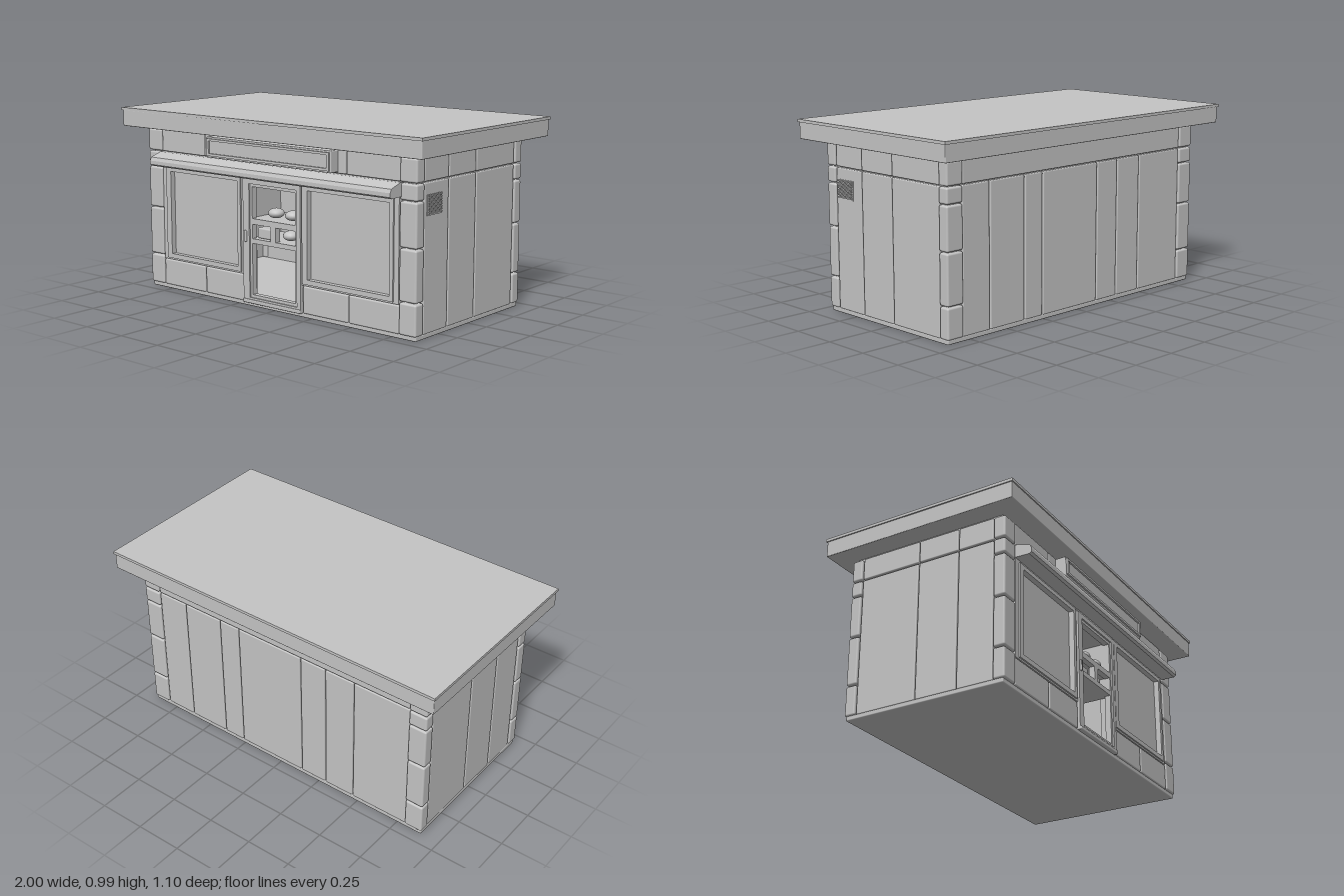
import * as THREE from 'three';
import { RoundedBoxGeometry } from 'three/addons/geometries/RoundedBoxGeometry.js';

const stone = new THREE.MeshStandardMaterial({ color: 0xc4c4c4 });
stone.name = 'plain grey';

export function createModel() {
  const shop = new THREE.Group();
  shop.name = 'shop';

  const group = (name) => {
    const g = new THREE.Group();
    g.name = name;
    shop.add(g);
    return g;
  };
  const add = (parent, name, geometry) => {
    const m = new THREE.Mesh(geometry, stone);
    m.name = name;
    parent.add(m);
    return m;
  };
  // Box given by its limits; r > 0 softens the edges
  const block = (parent, name, [x0, x1], [y0, y1], [z0, z1], r = 0) => {
    const s = [x1 - x0, y1 - y0, z1 - z0];
    const m = add(parent, name, r ? new RoundedBoxGeometry(...s, 2, r) : new THREE.BoxGeometry(...s));
    m.position.set((x0 + x1) / 2, (y0 + y1) / 2, (z0 + z1) / 2);
    return m;
  };
  // Upright plate with rectangular holes, each [x0, x1, y0, y1]
  const plate = (parent, name, outer, holes, z0, z1) => {
    const corners = ([a, b, c, d]) => [[a, c], [b, c], [b, d], [a, d]].map((p) => new THREE.Vector2(...p));
    const shape = new THREE.Shape(corners(outer));
    holes.forEach((h) => shape.holes.push(new THREE.Path(corners(h))));
    const m = add(parent, name, new THREE.ExtrudeGeometry(shape, { depth: z1 - z0, bevelEnabled: false }));
    m.position.z = z0;
    return m;
  };
  const gap = 0.003;
  const between = (list, i) => [list[i] + gap, list[i + 1] - gap];

  // Roof slab with a thin lip, and the base
  const roof = group('roof');
  block(roof, 'roofSlab', [-0.994, 0.994], [0.885, 0.972], [-0.545, 0.545], 0.004);
  block(roof, 'roofLip', [-1, 1], [0.97, 0.985], [-0.55, 0.55]);
  block(shop, 'base', [-0.895, 0.895], [0, 0.025], [-0.44, 0.44], 0.006);

  // Hollow inner shell, seen in the joints and through the door
  const shell = group('innerWalls');
  for (const s of [-1, 1]) {
    block(shell, 'sideWall', s > 0 ? [0.84, 0.878] : [-0.878, -0.84], [0.01, 0.886], [-0.425, 0.425]);
  }
  block(shell, 'backWall', [-0.86, 0.86], [0.01, 0.886], [-0.428, -0.39]);
  plate(shell, 'frontWall', [-0.86, 0.86, 0.01, 0.886], [[-0.17, 0.17, 0.04, 0.65]], 0.38, 0.422);
  block(shell, 'ceiling', [-0.87, 0.87], [0.87, 0.886], [-0.43, 0.43]);

  // Corner stones
  const courses = [0.02, 0.182, 0.442, 0.667, 0.752, 0.873];
  const corners = group('cornerStones');
  for (const sx of [-1, 1]) for (const sz of [-1, 1]) {
    for (let i = 0; i < 5; i++) {
      block(corners, 'cornerStone', sx > 0 ? [0.8, 0.9] : [-0.9, -0.8], between(courses, i),
        sz > 0 ? [0.387, 0.45] : [-0.447, -0.387], 0.01);
    }
  }

  // Side planks with a top band
  const sideJoints = [-0.385, -0.045, 0.185, 0.385];
  const sides = group('sidePlanks');
  for (const s of [-1, 1]) for (let i = 0; i < 3; i++) {
    const x = s > 0 ? [0.865, 0.895] : [-0.895, -0.865];
    block(sides, 'sidePlank', x, [0.022, 0.749], between(sideJoints, i), 0.006);
    block(sides, 'sideBand', x, [0.755, 0.873], between(sideJoints, i), 0.006);
  }

  // Back planks with a top band
  const backJoints = [-0.8, -0.47, -0.295, -0.14, 0.26, 0.385, 0.62, 0.8];
  const back = group('backPlanks');
  for (let i = 0; i < 7; i++) {
    block(back, 'backPlank', between(backJoints, i), [0.022, 0.749], [-0.44, -0.41], 0.006);
  }
  block(back, 'backBand', [-0.797, 0.797], [0.755, 0.873], [-0.442, -0.41], 0.006);

  // Low front stones and upper front band
  const front = group('frontStones');
  for (const [a, b] of [[-0.8, -0.485], [-0.485, -0.2], [0.195, 0.49], [0.49, 0.8]]) {
    block(front, 'lowFrontStone', [a + gap, b - gap], [0.022, 0.163], [0.41, 0.446], 0.008);
  }
  for (const [a, b] of [[-0.8, -0.48], [-0.48, 0.475], [0.475, 0.8]]) {
    block(front, 'frontBand', [a + gap, b - gap], [0.755, 0.873], [0.41, 0.446], 0.006);
  }

  // Shop windows: raised frame, sill and a sunken pane
  const windows = group('shopWindows');
  for (const [a, b, p, q] of [[-0.795, -0.2, -0.73, -0.24], [0.195, 0.795, 0.235, 0.745]]) {
    plate(windows, 'windowFrame', [a, b, 0.166, 0.7], [[p, q, 0.2, 0.65]], 0.41, 0.445);
    plate(windows, 'windowTrim', [p - 0.035, q + 0.022, 0.175, 0.672], [[p, q, 0.2, 0.65]], 0.44, 0.453);
    block(windows, 'windowPane', [p - 0.01, q + 0.01], [0.19, 0.66], [0.405, 0.424]);
  }

  // Door with display openings
  const door = group('door');
  plate(door, 'doorFrame', [-0.198, 0.192, 0.02, 0.7], [
    [-0.14, 0.152, 0.465, 0.63], [-0.14, -0.015, 0.36, 0.435],
    [0.02, 0.152, 0.36, 0.435], [-0.14, 0.152, 0.065, 0.335],
  ], 0.415, 0.447);
  plate(door, 'doorTrim', [-0.198, 0.192, 0.02, 0.67], [[-0.155, 0.167, 0.05, 0.645]], 0.44, 0.455);
  block(door, 'doorStep', [-0.198, 0.192], [0.02, 0.04], [0.44, 0.462], 0.005);
  block(door, 'doorHandle', [-0.188, -0.172], [0.34, 0.4], [0.45, 0.463], 0.005);

  // Display shelves behind the door
  const shelves = group('displayShelves');
  for (const y of [0.335, 0.44, 0.64]) {
    block(shelves, 'shelf', [-0.17, 0.17], [y, y + 0.024], [0.2, 0.42]);
  }
  block(shelves, 'shelfBack', [-0.17, 0.17], [0.335, 0.66], [0.19, 0.21]);
  for (const x of [-0.165, 0.165]) {
    block(shelves, 'shelfSide', [x - 0.008, x + 0.008], [0.335, 0.66], [0.2, 0.42]);
  }
  block(shelves, 'tray', [-0.13, -0.035], [0.36, 0.415], [0.36, 0.42], 0.008);
  block(shelves, 'counter', [0.02, 0.2], [0.02, 0.265], [-0.1, 0.0]);
  for (const [x, y] of [[-0.03, 0.49], [0.085, 0.49], [0.07, 0.385]]) {
    const bun = add(shelves, 'bun', new THREE.SphereGeometry(0.042, 20, 12));
    bun.scale.y = 0.62;
    bun.position.set(x, y + 0.008, 0.385);
  }

  // Rounded ledge above the windows
  const profile = new THREE.Shape([[0.43, 0.69], [0.45, 0.685], [0.522, 0.683], [0.535, 0.692],
    [0.535, 0.712], [0.527, 0.73], [0.46, 0.752], [0.43, 0.752]].map((p) => new THREE.Vector2(-p[0], p[1])));
  const ledge = add(shop, 'ledge', new THREE.ExtrudeGeometry(profile, { depth: 1.61, bevelEnabled: false }));
  ledge.rotation.y = Math.PI / 2;
  ledge.position.x = -0.8;

  // Blank sign board with a raised border
  const sign = group('signBoard');
  block(sign, 'board', [-0.408, 0.428], [0.762, 0.87], [0.44, 0.502], 0.005);
  plate(sign, 'border', [-0.4, 0.42, 0.772, 0.862], [[-0.385, 0.405, 0.785, 0.85]], 0.5, 0.511);

  // Slatted vent on the left side wall
  const vent = group('vent');
  block(vent, 'ventPlate', [0.88, 0.899], [0.592, 0.692], [0.248, 0.365]);
  for (let i = 0; i < 8; i++) {
    const y = 0.6 + i * 0.0118;
    block(vent, 'ventSlat', [0.895, 0.906], [y, y + 0.0065], [0.254, 0.359]);
  }

  return shop;
}
